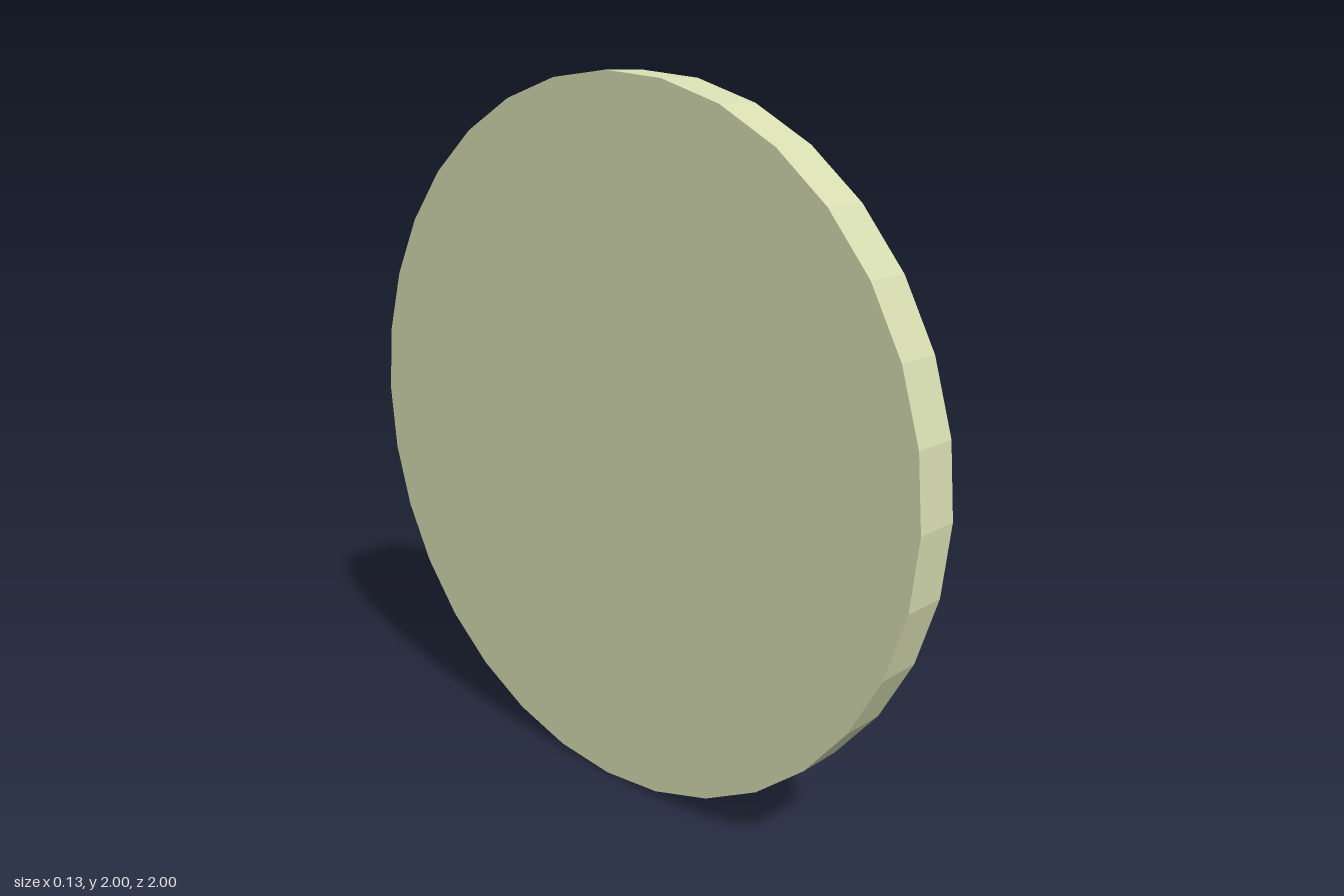
import * as THREE from 'three';

const SIDES = 32;
const HALF = 0.067;   // half the case thickness
const DIAL_X = 0.005; // recessed dial plane

export function createModel() {
  const clock = new THREE.Group();
  clock.name = 'wallClock';

  const mat = (color) => new THREE.MeshStandardMaterial({ color, flatShading: true });
  const black = mat(0x0a0a0a);

  const add = (name, geometry, material, x = 0, y = 0, z = 0) => {
    const mesh = new THREE.Mesh(geometry, material);
    mesh.name = name;
    mesh.position.set(x, y, z);
    clock.add(mesh);
    return mesh;
  };

  // Case: closed back, outer wall, front rim and inner wall, turned to face +x
  const profile = [
    [0, -HALF], [1, -HALF], [1, HALF], [0.925, HALF], [0.925, DIAL_X],
  ].map(([r, h]) => new THREE.Vector2(r, h));
  const caseGeo = new THREE.LatheGeometry(profile, SIDES).rotateZ(-Math.PI / 2);
  add('case', caseGeo, mat(0xd6dcb0), 0, 1, 0);

  // Dial
  const dialGeo = new THREE.CircleGeometry(0.925, SIDES).rotateY(Math.PI / 2);
  add('dial', dialGeo, mat(0x86d65d), DIAL_X, 1, 0);

  // Hands, stacked outward from the dial, all pointing to twelve
  const hands = [
    ['hourHand', 0.41, 0.04, 0x2424ff],
    ['minuteHand', 0.6, 0.025, 0xdcaab8],
    ['secondHand', 0.83, 0.014, 0xd8483a],
  ];
  hands.forEach(([name, length, width, color], i) => {
    const geo = new THREE.BoxGeometry(0.006, length, width);
    add(name, geo, mat(color), DIAL_X + 0.008 + i * 0.009, 1 + length / 2, 0);
  });

  // Centre pivot
  add('pivot', new THREE.SphereGeometry(0.024, 12, 8), black, DIAL_X + 0.018, 1, 0);

  // Plain hour markers: a pair of bars at twelve, one bar at each other quarter
  const markers = [
    ['twelveMarkerLeft', 1.79, 0.052, 0.024],
    ['twelveMarkerRight', 1.79, -0.05, 0.05],
    ['threeMarker', 0.985, -0.84, 0.055],
    ['sixMarker', 0.165, 0, 0.055],
    ['nineMarker', 0.98, 0.845, 0.055],
  ];
  for (const [name, y, z, width] of markers) {
    add(name, new THREE.BoxGeometry(0.024, 0.14, width), black, DIAL_X + 0.012, y, z);
  }

  return clock;
}
